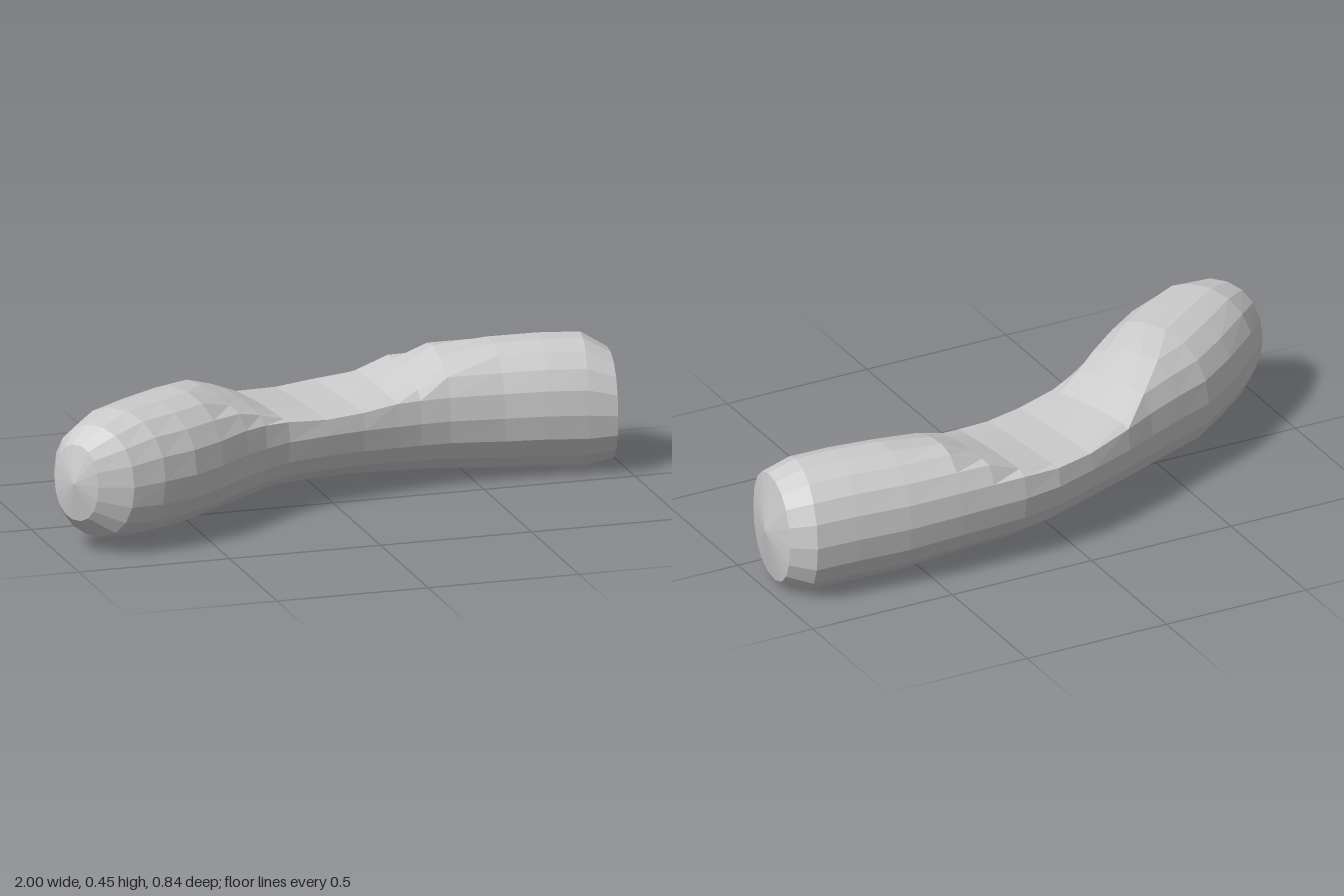
import * as THREE from 'three';

const SIDES = 18;

// Stations along the bent body:
// back edge x, z | front edge x, z | bottom y | full top y | height of the top cut (1 = uncut)
const STATIONS = [
  [-1.0, 0.25, -0.9, 0.39, 0.12, 0.37, 1],
  [-0.985, 0.19, -0.79, 0.42, 0.06, 0.425, 1],
  [-0.9, 0.09, -0.68, 0.4, 0.04, 0.455, 1],
  [-0.76, -0.03, -0.56, 0.35, 0.037, 0.455, 1],
  [-0.62, -0.13, -0.45, 0.275, 0.037, 0.452, 1],
  [-0.49, -0.185, -0.34, 0.19, 0.045, 0.45, 0.425],
  [-0.36, -0.24, -0.26, 0.135, 0.05, 0.44, 0.38],
  [-0.25, -0.295, -0.17, 0.09, 0.06, 0.43, 0.325],
  [-0.08, -0.36, -0.03, 0.055, 0.058, 0.43, 0.298],
  [0.06, -0.405, 0.1, 0.02, 0.05, 0.43, 0.3],
  [0.19, -0.42, 0.22, -0.005, 0.04, 0.43, 0.322],
  [0.3, -0.42, 0.3, -0.02, 0.035, 0.43, 0.362],
  [0.42, -0.42, 0.4, -0.03, 0.03, 0.43, 0.415],
  [0.6, -0.415, 0.58, -0.028, 0.015, 0.432, 1],
  [0.78, -0.4, 0.72, -0.015, 0.01, 0.435, 1],
  [0.92, -0.385, 0.85, -0.005, 0.003, 0.43, 1],
  [0.985, -0.32, 0.945, 0, 0.03, 0.385, 1],
];

// Slightly squared round section, cut off from above where the body is scooped out
function section([bx, bz, fx, fz, bottom, top, cut]) {
  const soft = (v) => Math.sign(v) * Math.abs(v) ** 0.92;
  return Array.from({ length: SIDES }, (_, j) => {
    const a = (j / SIDES) * Math.PI * 2;
    const side = soft(Math.cos(a));
    const t = (side + 1) / 2;
    const y = (bottom + top) / 2 + (soft(Math.sin(a)) * (top - bottom)) / 2;
    const limit = cut - Math.max(0, side) * (cut - 0.29) * 0.5;
    return [bx + (fx - bx) * t, Math.min(y, limit), bz + (fz - bz) * t];
  });
}

function bodyGeometry() {
  const rings = STATIONS.map(section);
  const last = rings.length - 1;
  const leftTip = [-0.968, 0.25, 0.345];
  const rightTip = [1, 0.21, -0.18];
  const pos = [];
  const tri = (...corners) => corners.forEach((c) => pos.push(...c));

  for (let j = 0; j < SIDES; j++) {
    const k = (j + 1) % SIDES;
    // rounded ends
    tri(leftTip, rings[0][j], rings[0][k]);
    tri(rightTip, rings[last][k], rings[last][j]);
    // skin between neighbouring sections
    for (let i = 0; i < last; i++) {
      const [p, q] = [rings[i], rings[i + 1]];
      tri(p[j], q[j], q[k]);
      tri(p[j], q[k], p[k]);
    }
  }
  const geometry = new THREE.BufferGeometry();
  geometry.setAttribute('position', new THREE.Float32BufferAttribute(pos, 3));
  geometry.computeVertexNormals();
  return geometry;
}

export function createModel() {
  const group = new THREE.Group();
  group.name = 'bentRoll';
  const material = new THREE.MeshStandardMaterial({ color: 0xcccccc, flatShading: true });
  const body = new THREE.Mesh(bodyGeometry(), material);
  body.name = 'body';
  group.add(body);
  return group;
}
